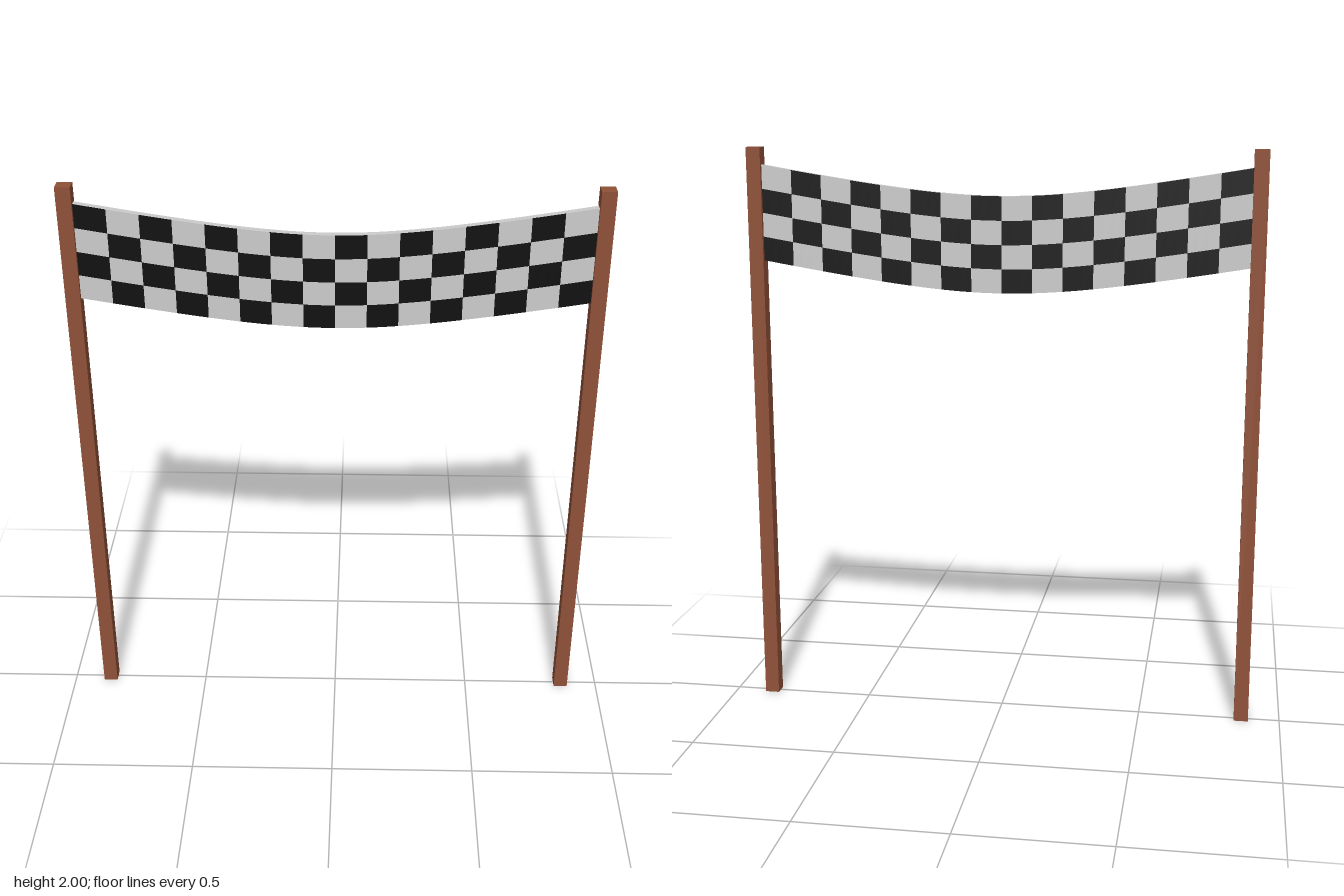
import * as THREE from 'three';
import { mergeGeometries } from 'three/addons/utils/BufferGeometryUtils.js';

const POST = 0.05, SPAN = 1.68, DROP = 0.33, THICK = 0.024;
const COLS = 16, ROWS = 4;

// Height of the sagging top edge: 1.84 in the middle, 1.94 at the posts
function sag(x) {
  const c = 0.4, rise = (t) => Math.hypot(t, c) - c;
  return 1.84 + 0.1 * rise(x) / rise(SPAN / 2);
}

// Shift every vertex up by the sag, so y = 0 becomes the top edge
function bend(geometry) {
  const p = geometry.attributes.position;
  for (let i = 0; i < p.count; i++) p.setY(i, p.getY(i) + sag(p.getX(i)));
  geometry.computeVertexNormals();
  return geometry;
}

export function createModel() {
  const model = new THREE.Group();
  model.name = 'finishBanner';
  const wood = new THREE.MeshStandardMaterial({ color: 0x8f5138 });
  const light = new THREE.MeshStandardMaterial({ color: 0xcccccc });
  const dark = new THREE.MeshStandardMaterial({ color: 0x0f0f0f });

  const add = (name, geometry, material) => {
    const mesh = new THREE.Mesh(geometry, material);
    mesh.name = name;
    model.add(mesh);
    return mesh;
  };

  // Square posts
  for (const [name, side] of [['leftPost', 1], ['rightPost', -1]]) {
    add(name, new THREE.BoxGeometry(POST, 2, POST), wood)
      .position.set(side * (SPAN + POST) / 2, 1, 0);
  }

  // Checkered cells on the front and back of the cloth
  const w = SPAN / COLS, h = DROP / ROWS;
  const cells = { light: [], dark: [] };
  for (let col = 0; col < COLS; col++) {
    for (let row = 0; row < ROWS; row++) {
      const list = (col + row) % 2 ? cells.light : cells.dark;
      for (const face of [1, -1]) {
        const cell = new THREE.PlaneGeometry(w, h, 3, 1);
        if (face < 0) cell.rotateY(Math.PI);
        cell.translate((col + 0.5) * w - SPAN / 2, -(row + 0.5) * h, face * THICK / 2);
        list.push(bend(cell));
      }
    }
  }
  add('lightSquares', mergeGeometries(cells.light), light);
  add('darkSquares', mergeGeometries(cells.dark), dark);

  // Hems closing the top and bottom edges of the cloth
  for (const [name, y, turn] of [['topHem', 0, -1], ['bottomHem', -DROP, 1]]) {
    const hem = new THREE.PlaneGeometry(SPAN, THICK, COLS * 3, 1);
    hem.rotateX(turn * Math.PI / 2).translate(0, y, 0);
    add(name, bend(hem), light);
  }
  return model;
}
